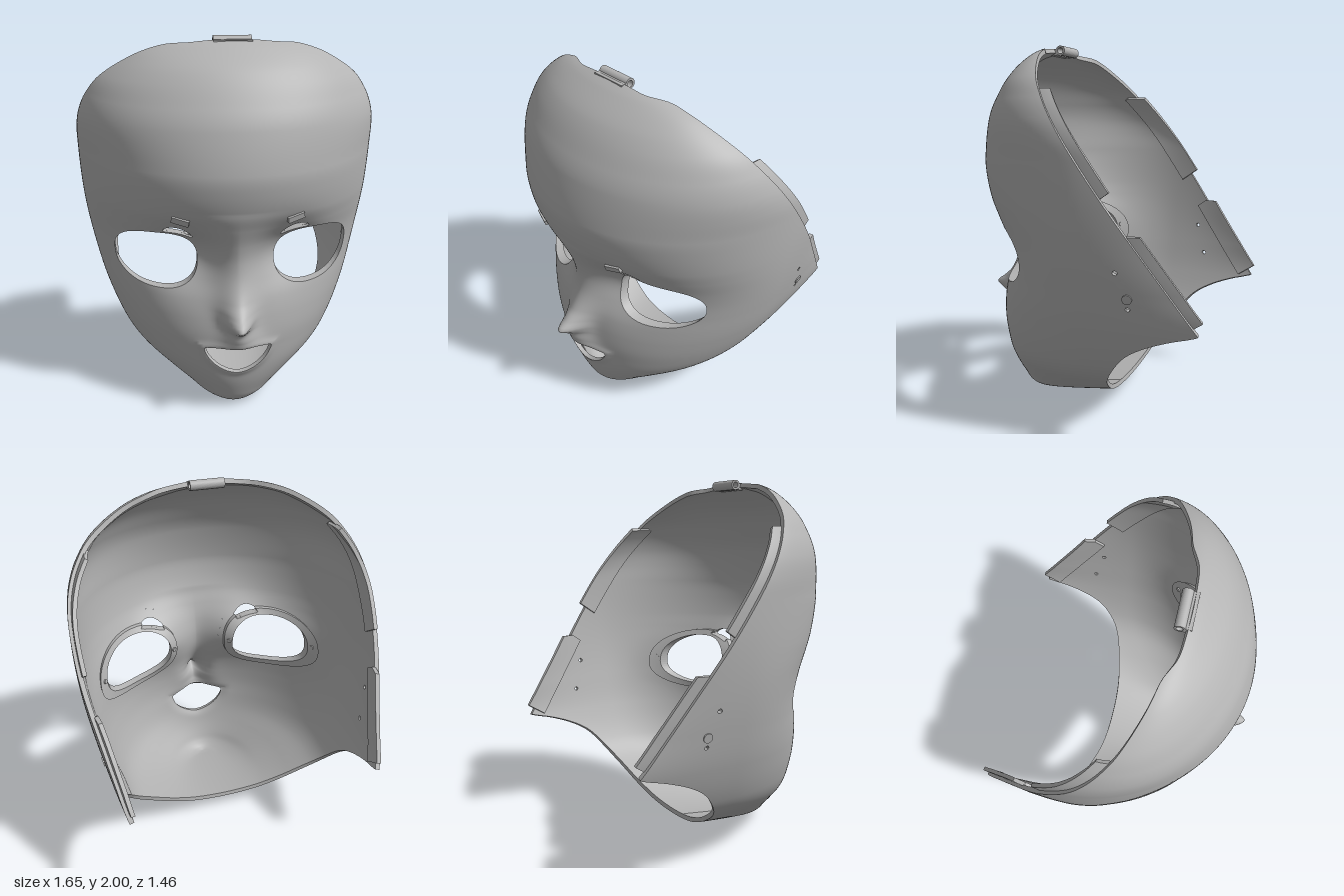
import * as THREE from 'three';

const grey = new THREE.MeshStandardMaterial({ color: 0xb4b4b4 });
grey.name = 'grey plastic';

// Smooth curve through [position, value] pairs, flat beyond both ends
function curve(...pts) {
  const n = pts.length;
  const slope = pts.map((_, i) => {
    const a = pts[Math.max(i - 1, 0)], b = pts[Math.min(i + 1, n - 1)];
    return (b[1] - a[1]) / (b[0] - a[0]);
  });
  return (y) => {
    if (y <= pts[0][0]) return pts[0][1];
    if (y >= pts[n - 1][0]) return pts[n - 1][1];
    let i = 0;
    while (y > pts[i + 1][0]) i++;
    const h = pts[i + 1][0] - pts[i][0], t = (y - pts[i][0]) / h, s = 1 - t;
    return s * s * (1 + 2 * t) * pts[i][1] + t * t * (3 - 2 * t) * pts[i + 1][1]
      + h * t * s * (s * slope[i] - t * slope[i + 1]);
  };
}

// Head cross-sections by height: half width, widest depth, front and rear ends
const halfWidth = curve([0, 0], [0.02, 0.1], [0.06, 0.2], [0.12, 0.3], [0.2, 0.425], [0.3, 0.56], [0.4, 0.635],
  [0.6, 0.715], [0.8, 0.765], [1, 0.8], [1.2, 0.82], [1.4, 0.826], [1.5, 0.82], [1.6, 0.795], [1.7, 0.745],
  [1.8, 0.66], [1.9, 0.5], [1.95, 0.37], [1.98, 0.22], [2, 0.05]);
const middle = curve([0, 0.42], [0.02, 0.36], [0.06, 0.28], [0.12, 0.15], [0.2, 0.02], [0.3, -0.09], [0.4, -0.14],
  [0.6, -0.17], [1, -0.17], [1.4, -0.17], [1.6, -0.05], [1.8, 0.06], [1.9, 0.15], [2, 0.24]);
const front = curve([0, 0.42], [0.02, 0.46], [0.06, 0.495], [0.1, 0.515], [0.2, 0.55], [0.3, 0.57], [0.4, 0.58],
  [0.5, 0.585], [0.6, 0.575], [0.7, 0.555], [0.8, 0.53], [0.9, 0.52], [1, 0.54], [1.1, 0.588], [1.18, 0.625],
  [1.3, 0.655], [1.4, 0.66], [1.6, 0.615], [1.7, 0.57], [1.85, 0.47], [1.95, 0.35], [2, 0.265]);
const rear = curve([0, 0.42], [0.02, 0.3], [0.06, 0.06], [0.09, -0.12], [0.12, -0.3], [0.2, -0.7], [0.3, -1.2],
  [0.4, -1.6], [0.6, -2], [0.8, -1.6], [1, -1.3], [1.4, -1.1], [2, 0]);
const noseHeight = curve([0.42, 0], [0.46, 0.045], [0.5, 0.068], [0.55, 0.085], [0.58, 0.13], [0.61, 0.165],
  [0.65, 0.12], [0.7, 0.075], [0.8, 0.048], [0.9, 0.043], [1, 0.035], [1.1, 0.015], [1.2, 0]);
const noseWidth = curve([0.44, 0.12], [0.52, 0.085], [0.6, 0.07], [0.7, 0.09], [0.9, 0.12], [1.1, 0.18]);

// Outline tests, negative inside the named area
const eye = (p) => 0.17 * (Math.pow(Math.pow(Math.abs((Math.abs(p.x) - 0.415) / 0.215), 2.35)
  + Math.pow(Math.abs((p.y - 0.895) / 0.16), 2.35), 1 / 2.35) - 1);
const mouth = (p) => Math.max(p.y - 0.455 + 0.5 * p.x * p.x, 0.165 * (Math.pow(
  Math.pow(Math.abs(p.x) / 0.18, 1.75) + Math.pow(Math.abs(p.y - 0.445) / 0.165, 1.75), 1 / 1.75) - 1));
const slit = (p) => {
  const dx = Math.abs(p.x) - 0.3, dy = p.y - 1.076 - 0.25 * dx + 4 * dx * dx;
  return p.z < 0 ? 1 : 0.022 * (Math.hypot(dx / 0.075, dy / 0.022) - 1);
};
const pin = (z, y) => (p) => Math.hypot(p.z - z, p.y - y) - 0.012;
// Slanted back plane: distance in front of it and distance down along it
const ahead = (p) => 0.821 * (p.z - 0.25) - 0.571 * (p.y - 2);
const along = (p) => -0.571 * (p.z - 0.25) - 0.821 * (p.y - 2);
// Back edge, stepped forward at the crown to seat the hinge
const backEdge = (p) => ahead(p) - (p.y > 1.85 ? 0.04 * (1 - THREE.MathUtils.smoothstep(Math.abs(p.x), 0.2, 0.36)) : 0);
const jawCut = curve([0.09, -0.12], [0.16, -0.15], [0.27, -0.2], [0.38, -0.27], [0.47, -0.35], [0.53, -0.45],
  [0.58, -0.58], [0.61, -0.69], [0.63, -0.73]);

function headPoint(u, y) {
  const c = Math.cos(u), m = middle(y);
  const p = new THREE.Vector3(halfWidth(y) * Math.sin(u), y, m + c * (c > 0 ? front(y) - m : m - rear(y)));
  if (c > 0) {
    // Nose, eye socket and raised lips
    p.z += noseHeight(y) * Math.exp(-((p.x / noseWidth(y)) ** 2));
    p.z -= 0.075 * Math.exp(-(((Math.abs(p.x) - 0.26) / 0.15) ** 2) - ((y - 0.94) / 0.15) ** 2);
    p.z += 0.012 * Math.exp(-((mouth(p) / 0.025) ** 2));
  }
  return p;
}

function headNormal(u, y) {
  const e = 0.004;
  const du = headPoint(u + e, y).sub(headPoint(u - e, y));
  const dy = headPoint(u, Math.min(y + e, 2)).sub(headPoint(u, Math.max(y - e, 0)));
  const n = du.cross(dy);
  return n.length() < 1e-9 ? new THREE.Vector3(0, y < 1 ? -1 : 1, 0) : n.normalize();
}

// Direction of thickness: along the normal, but straight back around the eyes
function outward(p, n) {
  const k = p.z > 0 ? 1 - THREE.MathUtils.smoothstep(eye(p), 0.05, 0.12) : 0;
  return n.clone().lerp(new THREE.Vector3(0, 0, 1), k).normalize();
}

// Shared grid of points over the whole head
const ROWS = 170, COLS = 180;
const grid = [];
for (let i = 0; i <= ROWS; i++) {
  const t = i / ROWS, y = 2 * (0.65 * t + 0.35 * (0.5 - 0.5 * Math.cos(Math.PI * t)));
  const row = [];
  for (let j = 0; j <= COLS; j++) {
    const s = (2 * j) / COLS - 1, u = Math.PI * Math.sign(s) * Math.pow(Math.abs(s), 1.25);
    row.push({ p: headPoint(u, y), n: headNormal(u, y) });
  }
  grid.push(row);
}

// Closed shell between two depths under the head surface, kept where every test is positive
function shell(name, tests, outer, inner, fine = []) {
  const pos = [], nor = [];
  const at = (v, d) => v.p.clone().addScaledVector(outward(v.p, v.n), -d);
  const face = (a, b, c, na, nb, nc) => {
    for (const v of [a, b, c]) pos.push(v.x, v.y, v.z);
    for (const v of [na, nb, nc]) nor.push(v.x, v.y, v.z);
  };
  const mix = (a, b, t) => ({
    p: a.p.clone().lerp(b.p, t), n: a.n.clone().lerp(b.n, t).normalize(),
    f: a.f && a.f.map((x, k) => x + (b.f[k] - x) * t),
  });
  const clip = (poly, k) => poly.flatMap((a, i) => {
    const b = poly[(i + 1) % poly.length], out = a.f[k] >= 0 ? [a] : [];
    if (a.f[k] * b.f[k] < 0) {
      const v = mix(a, b, a.f[k] / (a.f[k] - b.f[k]));
      v.f[k] = 0;
      out.push(v);
    }
    return out;
  });
  const add = (tri, depth) => {
    if (depth > 0 && fine.some((g) => tri.some((v) => Math.abs(g(v.p)) < 0.03))) {
      const [a, b, c] = tri.map((v) => ({ p: v.p, n: v.n }));
      const ab = mix(a, b, 0.5), bc = mix(b, c, 0.5), ca = mix(c, a, 0.5);
      for (const t of [[a, ab, ca], [ab, b, bc], [ca, bc, c], [ab, bc, ca]]) add(t, depth - 1);
      return;
    }
    let poly = tri.map((v) => ({ p: v.p, n: v.n, f: tests.map((g) => g(v.p)) }));
    for (let k = 0; k < tests.length && poly.length > 2; k++) poly = clip(poly, k);
    if (poly.length < 3) return;
    const top = poly.map((v) => at(v, outer)), low = poly.map((v) => at(v, inner));
    const n = poly.map((v) => v.n), m = n.map((v) => v.clone().negate());
    for (let i = 1; i < poly.length - 1; i++) {
      face(top[0], top[i], top[i + 1], n[0], n[i], n[i + 1]);
      face(low[0], low[i + 1], low[i], m[0], m[i + 1], m[i]);
    }
    // Rim wall along every cut edge
    poly.forEach((a, i) => {
      const j = (i + 1) % poly.length;
      if (!a.f.some((x, k) => x === 0 && poly[j].f[k] === 0)) return;
      const w = top[i].clone().sub(top[j]).cross(low[i].clone().sub(top[j])).normalize();
      face(top[j], top[i], low[i], w, w, w);
      face(top[j], low[i], low[j], w, w, w);
    });
  };
  for (let i = 0; i < ROWS; i++) for (let j = 0; j < COLS; j++) {
    const a = grid[i][j], b = grid[i][j + 1], c = grid[i + 1][j + 1], d = grid[i + 1][j];
    add([a, b, c], 2);
    add([a, c, d], 2);
  }
  const g = new THREE.BufferGeometry();
  g.setAttribute('position', new THREE.Float32BufferAttribute(pos, 3));
  g.setAttribute('normal', new THREE.Float32BufferAttribute(nor, 3));
  const mesh = new THREE.Mesh(g, grey);
  mesh.name = name;
  return mesh;
}

export function createModel() {
  const model = new THREE.Group();
  model.name = 'faceMask';
  const put = (name, geometry, p) => {
    const mesh = new THREE.Mesh(geometry, grey);
    mesh.name = name;
    mesh.position.copy(p);
    model.add(mesh);
    return mesh;
  };

  // Face shell with eye, mouth, eyelid and pin holes
  const small = [slit, pin(-0.34, 0.905), pin(-0.39, 0.73)];
  model.add(shell('faceShell', [backEdge, (p) => p.z - jawCut(p.y), eye, mouth, ...small], 0, 0.025, small));

  // Frames behind the eye holes
  model.add(shell('eyeFrames', [ahead, eye, (p) => 0.036 - eye(p), slit], 0.024, 0.055));

  // Joining tabs along the back edge
  const tab = (name, from, to, top) => model.add(shell(name, [(p) => ahead(p) + 0.05, (p) => 0.07 - ahead(p),
    (p) => along(p) - from, (p) => to - along(p), (p) => top - p.y], 0.018, 0.04));
  tab('upperTabs', 0.27, 0.925, 1.75);
  tab('lowerTabs', 1.13, 1.645, 1.07);

  for (const side of [1, -1]) {
    // Small brow brackets
    const y = 1.155, u = side * Math.asin(0.285 / halfWidth(y));
    const bracket = put('browBracket', new THREE.BoxGeometry(0.09, 0.032, 0.03), headPoint(u, y));
    bracket.rotation.set(0.25, side * 0.3, side * 0.18);

    // Screw boss near the back corner
    const h = 0.78, v = side * Math.acos((-0.39 - middle(h)) / (middle(h) - rear(h)));
    const boss = put('screwBoss', new THREE.CylinderGeometry(0.024, 0.024, 0.012, 24), headPoint(v, h));
    boss.quaternion.setFromUnitVectors(new THREE.Vector3(0, 1, 0), headNormal(v, h));

    // Pegs on the inner face of each eye frame
    for (const x of [0.182, 0.648]) {
      const a = side * Math.asin(x / halfWidth(0.9));
      const peg = put('eyePeg', new THREE.CylinderGeometry(0.014, 0.014, 0.02, 20),
        headPoint(a, 0.9).add(new THREE.Vector3(0, 0, -0.052)));
      peg.quaternion.setFromUnitVectors(new THREE.Vector3(0, 1, 0), headNormal(a, 0.9));
    }
  }

  // Hinge barrel on the crown
  const ring = new THREE.Shape().absarc(0, 0, 0.027, 0, Math.PI * 2);
  ring.holes.push(new THREE.Path().absarc(0, 0, 0.016, 0, Math.PI * 2, true));
  const barrel = new THREE.ExtrudeGeometry(ring, { depth: 0.19, bevelEnabled: false, curveSegments: 20 });
  barrel.translate(0, 0, -0.095).rotateY(Math.PI / 2);
  put('hingeBarrel', barrel, new THREE.Vector3(0, 1.973, 0.25));
  put('hingeBase', new THREE.BoxGeometry(0.19, 0.036, 0.035), new THREE.Vector3(0, 1.964, 0.287));
  return model;
}
